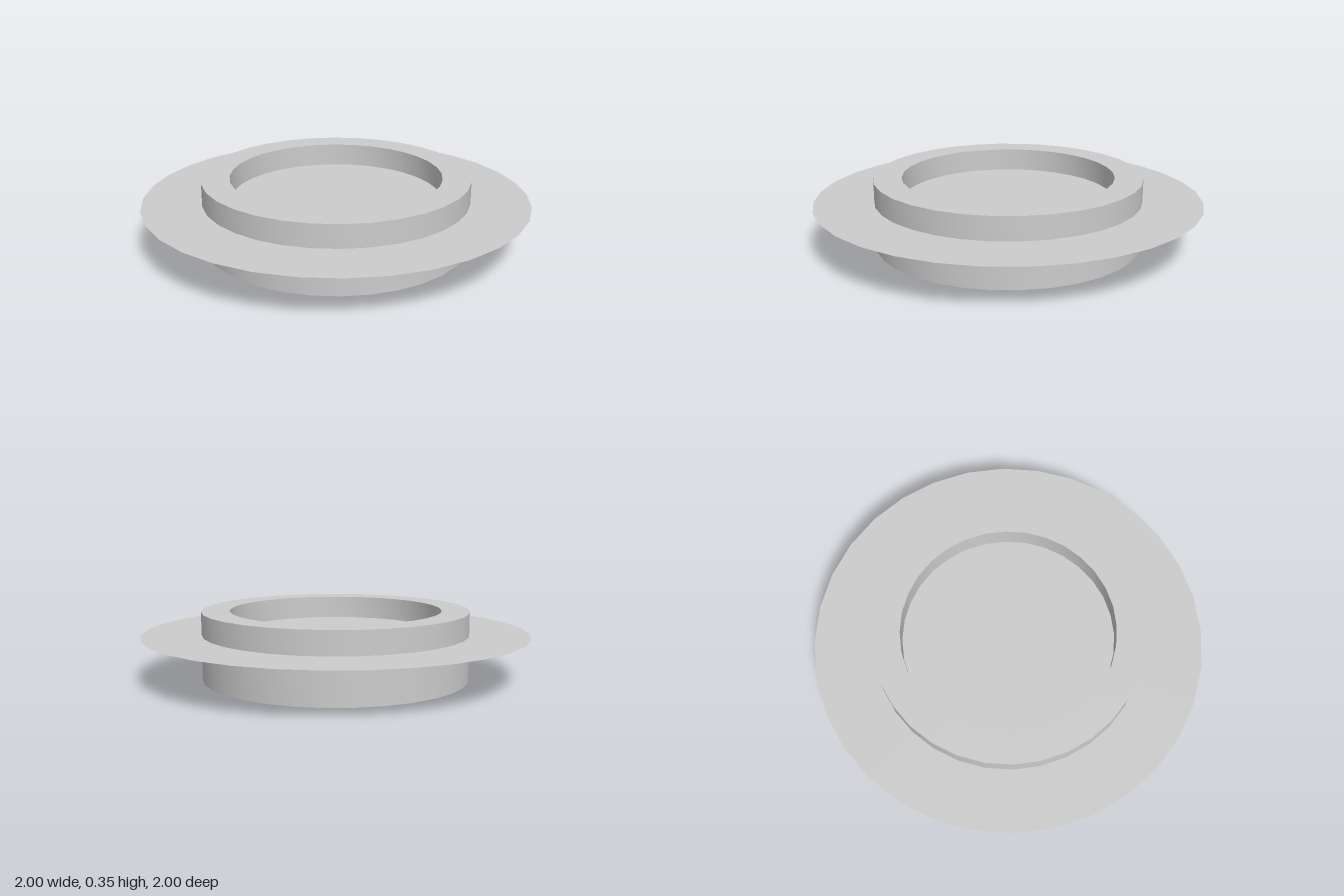
import * as THREE from 'three';
import { toCreasedNormals } from 'three/addons/utils/BufferGeometryUtils.js';

const SEGMENTS = 32;
const OUTER = 0.693, INNER = 0.548, HEIGHT = 0.354, FLOOR = 0.235;

export function createModel() {
  const group = new THREE.Group();
  group.name = 'flangedDish';

  // Round body with a shallow recess in its top
  const profile = [
    [0, 0], [OUTER, 0], [OUTER, HEIGHT], [INNER, HEIGHT], [INNER, FLOOR], [0, FLOOR],
  ].map(([r, y]) => new THREE.Vector2(r, y));
  const body = new THREE.Mesh(
    toCreasedNormals(new THREE.LatheGeometry(profile, SEGMENTS), 0.6),
    new THREE.MeshStandardMaterial({ color: 0xcccccc })
  );
  body.name = 'body';
  group.add(body);

  // Paper-thin flange around the body, level with the recess floor
  const flange = new THREE.Mesh(
    new THREE.RingGeometry(OUTER, 1, SEGMENTS).rotateX(-Math.PI / 2),
    new THREE.MeshStandardMaterial({ color: 0xcccccc, side: THREE.DoubleSide })
  );
  flange.name = 'flange';
  flange.position.y = FLOOR;
  group.add(flange);

  return group;
}
